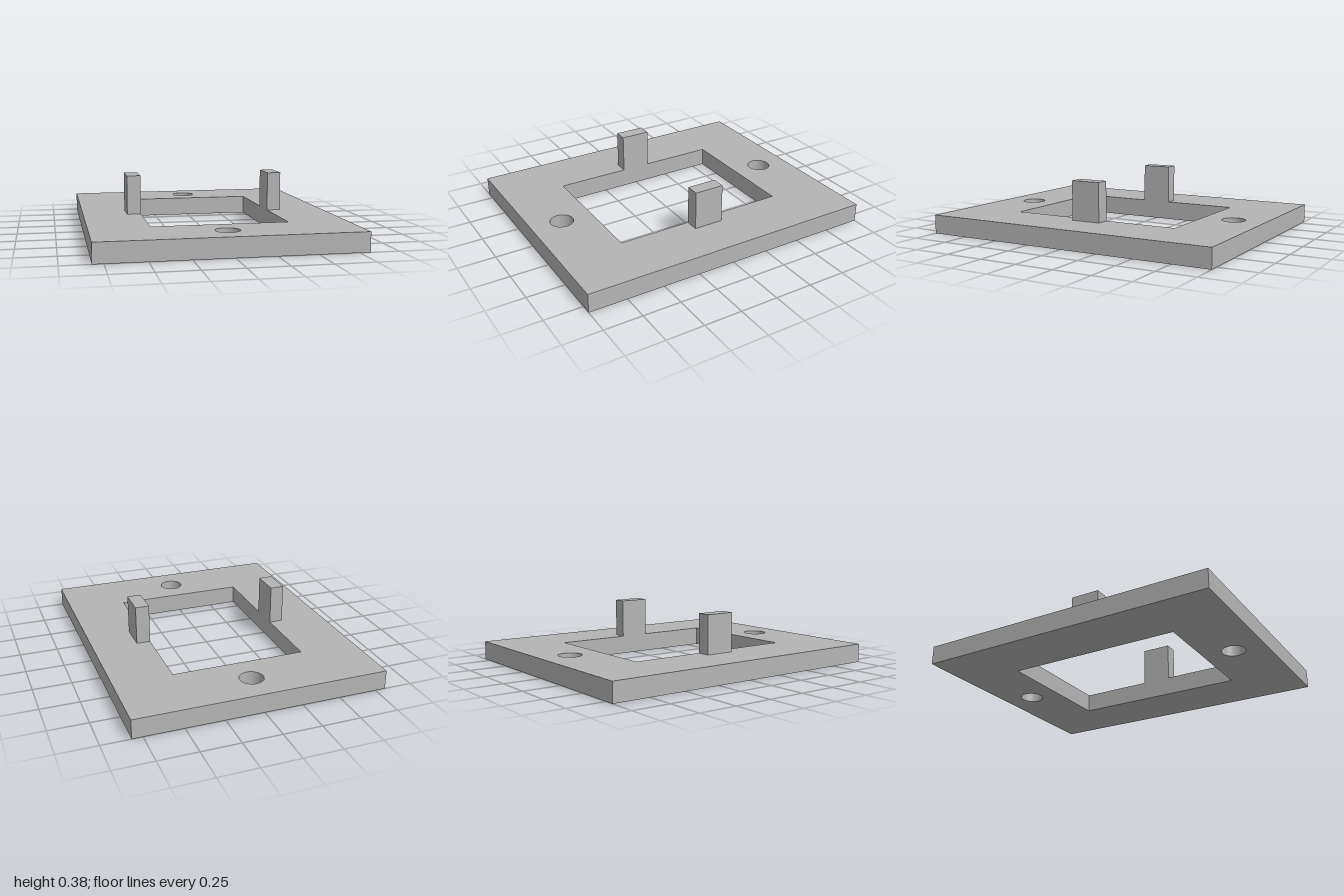
import * as THREE from 'three';

const THICK = 0.125;

// Rectangle outline centred on the origin
function rectPoints(halfX, halfY) {
  return [[-1, -1], [1, -1], [1, 1], [-1, 1]].map(
    ([sx, sy]) => new THREE.Vector2(sx * halfX, sy * halfY));
}

export function createModel() {
  const group = new THREE.Group();
  group.name = 'mountingFrame';
  const grey = new THREE.MeshStandardMaterial({ color: 0xb4b4b4 });
  grey.name = 'grey';

  // Flat plate with a rectangular window and two screw holes
  const outline = new THREE.Shape(rectPoints(0.817, 1));
  outline.holes.push(new THREE.Path(rectPoints(0.436, 0.584)));
  for (const side of [-1, 1]) {
    outline.holes.push(new THREE.Path().absarc(0, side * 0.79, 0.077, 0, Math.PI * 2, true));
  }
  const plateGeometry = new THREE.ExtrudeGeometry(outline, {
    depth: THICK, bevelEnabled: false, curveSegments: 24,
  });
  plateGeometry.rotateX(-Math.PI / 2);
  const plate = new THREE.Mesh(plateGeometry, grey);
  plate.name = 'plate';
  group.add(plate);

  // Upright tabs flush with the long edges of the window
  const tabGeometry = new THREE.BoxGeometry(0.091, 0.257, 0.198);
  for (const side of [-1, 1]) {
    const tab = new THREE.Mesh(tabGeometry, grey);
    tab.name = side > 0 ? 'leftTab' : 'rightTab';
    tab.position.set(side * 0.4815, THICK + 0.1285, 0);
    group.add(tab);
  }

  return group;
}
